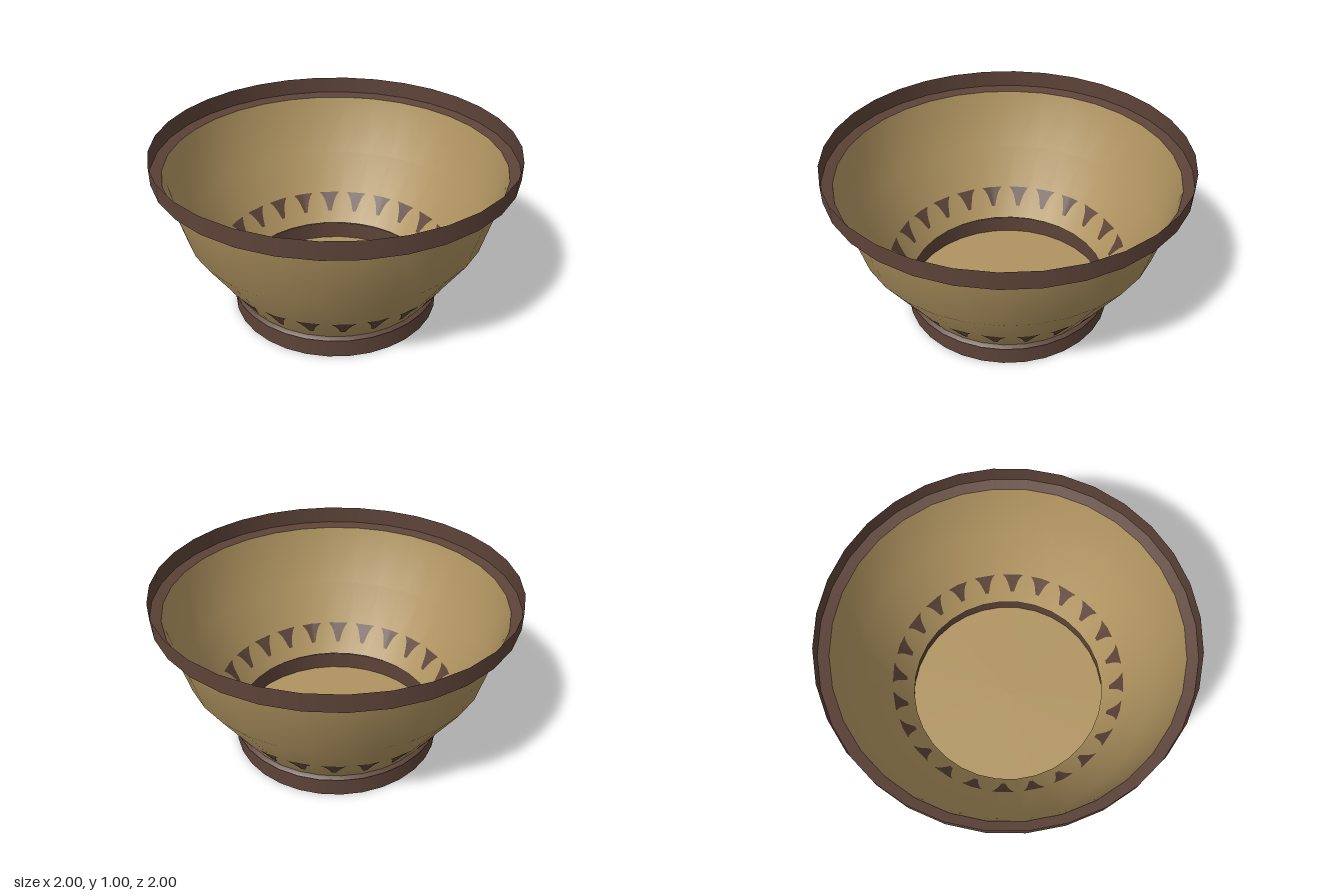
import * as THREE from 'three';
import { mergeGeometries } from 'three/addons/utils/BufferGeometryUtils.js';

const SIDES = 32;
const STEP = (Math.PI * 2) / SIDES;

function material(name, color) {
  const m = new THREE.MeshStandardMaterial({ color, side: THREE.DoubleSide });
  m.name = name;
  return m;
}

function lathe(name, points, mat) {
  const profile = points.map(([r, y]) => new THREE.Vector2(r, y));
  const mesh = new THREE.Mesh(new THREE.LatheGeometry(profile, SIDES), mat);
  mesh.name = name;
  return mesh;
}

// Lower wall runs as a straight cone from the neck to the shoulder
const NECK = [0.588, 0.125];
const SHOULDER = [0.848, 0.53];
const SLOPE = (SHOULDER[0] - NECK[0]) / (SHOULDER[1] - NECK[1]);

// Point on the faceted lower wall, pushed off it by a small offset
function wallPoint(angle, y, offset) {
  const r = NECK[0] + (y - NECK[1]) * SLOPE;
  const local = (((angle % STEP) + STEP) % STEP) - STEP / 2;
  const facet = (r * Math.cos(STEP / 2)) / Math.cos(local) + offset;
  return [facet * Math.sin(angle), y, facet * Math.cos(angle)];
}

// Half width of a painted tooth, from its blunt tip (t = 0) to its flared top (t = 1)
const toothHalfWidth = (t) => 0.012 + 0.034 * t + 0.017 * t ** 5;

function tooth(center, offset) {
  const geo = new THREE.PlaneGeometry(1, 1, 6, 6);
  const pos = geo.attributes.position;
  for (let i = 0; i < pos.count; i++) {
    const t = pos.getY(i) + 0.5;
    const angle = center + (pos.getX(i) * 2 * toothHalfWidth(t)) / 0.68;
    pos.setXYZ(i, ...wallPoint(angle, 0.195 + 0.108 * t, offset));
  }
  geo.computeVertexNormals();
  return geo;
}

export function createModel() {
  const tan = material('tan clay', 0xb09460);
  const brown = material('dark brown', 0x5d4338);
  const bowl = new THREE.Group();
  bowl.name = 'bowl';

  // Closed base, foot ring and the sloped ledge that meets the wall
  const base = new THREE.Mesh(new THREE.CircleGeometry(0.605, SIDES), tan);
  base.name = 'base';
  base.rotation.x = Math.PI / 2;
  bowl.add(base);
  bowl.add(lathe('foot', [[0.605, 0], [0.605, 0.11]], brown));
  bowl.add(lathe('footLedge', [[0.605, 0.11], [0.612, 0.113], NECK], brown));

  // Thin wall
  bowl.add(lathe('wall', [NECK, SHOULDER, [0.942, 0.885]], tan));

  // Rim band standing on a sloped ledge
  bowl.add(lathe('rimLedge', [[0.942, 0.885], [1, 0.9]], brown));
  bowl.add(lathe('rim', [[1, 0.9], [1, 1]], brown));

  // Ring of painted teeth on the outside and inside of the lower wall
  for (const [name, offset] of [['outerTeeth', 0.004], ['innerTeeth', -0.004]]) {
    const parts = [];
    for (let i = 0; i < 24; i++) parts.push(tooth(((i + 0.5) * Math.PI) / 12, offset));
    const teeth = new THREE.Mesh(mergeGeometries(parts), brown);
    teeth.name = name;
    bowl.add(teeth);
  }
  return bowl;
}
